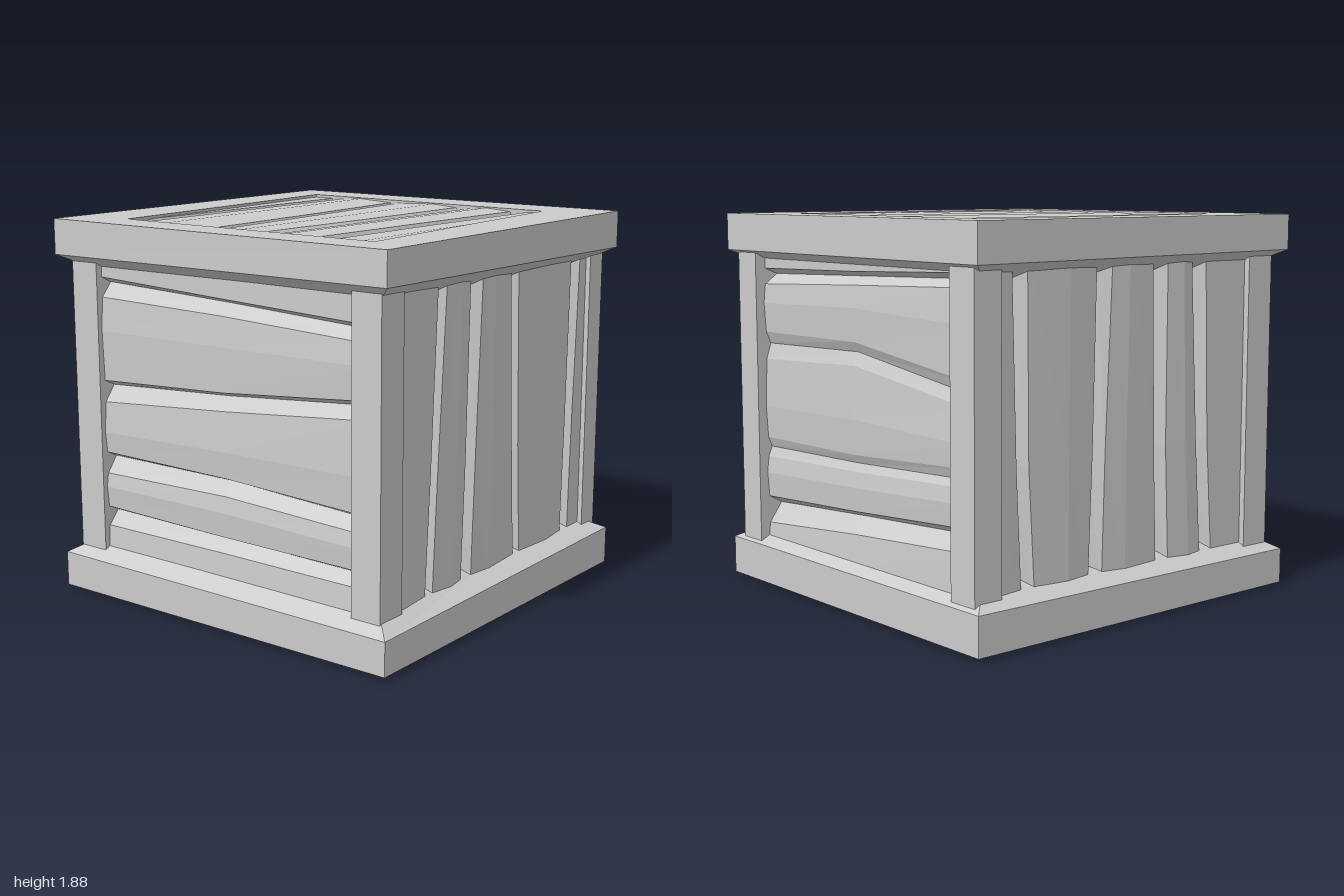
import * as THREE from 'three';

const material = new THREE.MeshStandardMaterial({ color: 0xcccccc, flatShading: true, side: THREE.DoubleSide });

// Skin a grid of points (rows of [x, y, z]) with flat quads.
function skin(name, rows) {
  const pos = [];
  for (let i = 0; i + 1 < rows.length; i++) {
    for (let j = 0; j + 1 < rows[i].length; j++) {
      const a = rows[i][j], b = rows[i][j + 1], c = rows[i + 1][j + 1], d = rows[i + 1][j];
      pos.push(...a, ...b, ...c, ...a, ...c, ...d);
    }
  }
  const geo = new THREE.BufferGeometry();
  geo.setAttribute('position', new THREE.Float32BufferAttribute(pos, 3));
  geo.computeVertexNormals();
  const mesh = new THREE.Mesh(geo, material);
  mesh.name = name;
  return mesh;
}

// Square ring; each loop lists its four corners, running front left to back left.
const OUTER = [[-1, 1], [1, 1], [1, -1], [-1, -1]];
const OPENING = [[-0.8, 0.79], [0.755, 0.7], [0.785, -0.79], [-0.8, -0.7]];
const INNER = [[-0.8, 0.8], [0.8, 0.8], [0.8, -0.8], [-0.8, -0.8]];
function frame(name, loops) {
  const rows = loops.map(([corners, ys]) => {
    const row = corners.map(([x, z], k) => [x, Array.isArray(ys) ? ys[k] : ys, z]);
    return [...row, row[0]];
  });
  return skin(name, [...rows, rows[0]]);
}

// Panel of uneven planks parted by grooves.
// Groove: [position at start, middle, end, width before, width after, depth]
function panel(name, { lo, hi, stations, level, grooves, crown = 0.01, place }) {
  const dir = Math.sign(hi - lo);
  const rails = [[lo, lo, lo, 0]];
  grooves.forEach(([a, b, c, before, after, depth], k) => {
    const last = rails[rails.length - 1];
    const edge = [a - dir * before, b - dir * before * 0.8, c - dir * before * 0.7];
    // slightly raised ridge along each plank
    rails.push([0, 1, 2].map((s) => last[s] + (edge[s] - last[s]) * (k % 2 ? 0.6 : 0.4)).concat(crown));
    rails.push([...edge, 0], [a, b, c, -depth]);
    rails.push([a + dir * after, b + dir * after * 0.8, c + dir * after, 0]);
  });
  rails.push([hi, hi, hi, 0]);
  return skin(name, rails.map((r) => stations.map((s, j) => place(s, r[j], level + r[3]))));
}

export function createModel() {
  const crate = new THREE.Group();
  crate.name = 'crate';

  // Top and bottom frames, their inner faces sloping toward the planks
  crate.add(frame('topFrame', [
    [OUTER, [1.725, 1.7, 1.7, 1.71]], [OUTER, 1.885], [OPENING, 1.885], [INNER, 1.6],
  ]));
  crate.add(frame('bottomFrame', [
    [OUTER, 0.015], [OUTER, [0.18, 0.205, 0.205, 0.19]], [INNER, 0.31],
    [OPENING.map(([x, z]) => [x, -z]).reverse(), 0.015],
  ]));

  // Corner posts: x from, x to, z from, z to
  const posts = [
    [-0.94, -0.775, 0.77, 0.93], [0.855, 0.98, 0.77, 0.93],
    [0.82, 0.975, -0.945, -0.78], [-0.94, -0.775, -0.945, -0.78],
  ];
  for (const [x0, x1, z0, z1] of posts) {
    const post = new THREE.Mesh(new THREE.BoxGeometry(x1 - x0, 1.6, z1 - z0), material);
    post.position.set((x0 + x1) / 2, 0.95, (z0 + z1) / 2);
    post.name = 'cornerPost';
    crate.add(post);
  }

  // Front and back: upright planks
  const upright = [1.77, 0.8, 0.13];
  crate.add(panel('frontPlanks', {
    lo: -0.85, hi: 0.93, stations: upright, level: 0.905, place: (s, v, d) => [v, s, d],
    grooves: [
      [-0.445, -0.5, -0.545, 0.03, 0.04, 0.06], [-0.155, -0.19, -0.225, 0.06, 0.045, 0.06],
      [0.165, 0.205, 0.24, 0.04, 0.03, 0.06], [0.755, 0.725, 0.7, 0.05, 0.04, 0.06],
    ],
  }));
  crate.add(panel('backPlanks', {
    lo: 0.9, hi: -0.88, stations: upright, level: 0.915, place: (s, v, d) => [v, s, -d],
    grooves: [
      [0.7, 0.68, 0.65, 0.04, 0.05, 0.07], [0.19, 0.22, 0.25, 0.04, 0.06, 0.06],
      [-0.18, -0.19, -0.21, 0.05, 0.05, 0.07], [-0.45, -0.49, -0.53, 0.06, 0.04, 0.06],
    ],
  }));

  // Sides: lying planks
  crate.add(panel('leftSidePlanks', {
    lo: 0.12, hi: 1.78, stations: [0.85, 0, -0.85], level: 0.925, place: (s, v, d) => [d, v, s],
    grooves: [
      [0.4, 0.455, 0.505, 0.1, 0.04, 0.07], [0.7, 0.72, 0.76, 0.05, 0.05, 0.02],
      [1.23, 1.25, 1.13, 0.08, 0.06, 0.025], [1.58, 1.605, 1.63, 0.05, 0.03, 0.07],
    ],
  }));
  crate.add(panel('rightSidePlanks', {
    lo: 0.12, hi: 1.78, stations: [-0.85, 0, 0.85], level: 0.905, place: (s, v, d) => [-d, v, s],
    grooves: [
      [0.42, 0.41, 0.4, 0.07, 0.03, 0.06], [0.7, 0.7, 0.66, 0.08, 0.03, 0.06],
      [1.06, 1.11, 1.18, 0.08, 0.03, 0.06], [1.58, 1.55, 1.51, 0.07, 0.03, 0.06],
    ],
  }));

  // Lid and floor: planks running across
  const across = [-0.83, 0, 0.82];
  crate.add(panel('lidPlanks', {
    lo: 0.83, hi: -0.83, stations: across, level: 1.87, place: (s, v, d) => [s, d, v],
    grooves: [
      [0.44, 0.48, 0.54, 0.08, 0.03, 0.06], [0.14, 0.18, 0.22, 0.05, 0.05, 0.06],
      [-0.175, -0.21, -0.25, 0.045, 0.02, 0.05], [-0.695, -0.67, -0.645, 0.05, 0.03, 0.07],
    ],
  }));
  crate.add(panel('floorPlanks', {
    lo: -0.83, hi: 0.83, stations: across, level: -0.012, crown: 0.012, place: (s, v, d) => [s, -d, v],
    grooves: [
      [-0.62, -0.65, -0.68, 0.04, 0.05, 0.06], [-0.25, -0.22, -0.2, 0.04, 0.05, 0.06],
      [0.2, 0.17, 0.14, 0.05, 0.05, 0.06], [0.5, 0.48, 0.44, 0.04, 0.06, 0.06],
    ],
  }));
  return crate;
}
